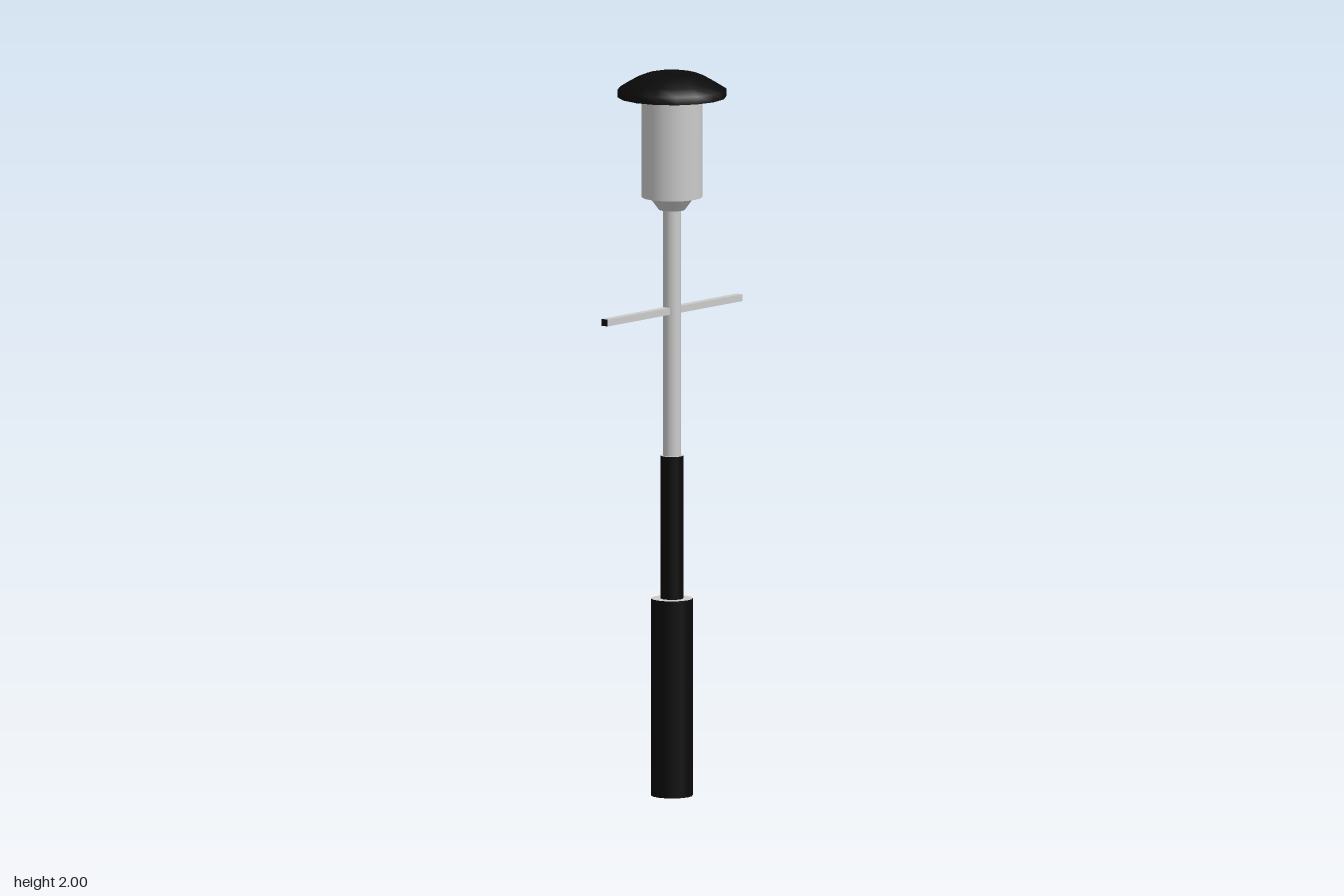
import * as THREE from 'three';

const SIDES = 16;
const grey = new THREE.MeshStandardMaterial({ color: 0xcccccc });
const black = new THREE.MeshStandardMaterial({ color: 0x0a0a0a });

export function createModel() {
  const lamp = new THREE.Group();
  lamp.name = 'streetLamp';

  const add = (name, geometry, material, y = 0) => {
    const mesh = new THREE.Mesh(geometry, material);
    mesh.name = name;
    mesh.position.y = y;
    lamp.add(mesh);
    return mesh;
  };

  // Upright round section from y0 to y1; materials are [side, top, bottom]
  const section = (name, y0, y1, r0, r1, materials) =>
    add(name, new THREE.CylinderGeometry(r1, r0, y1 - y0, SIDES), materials, (y0 + y1) / 2);

  // Post, from the ground up
  section('base', 0, 0.545, 0.057, 0.057, [black, grey, black]);
  section('sleeve', 0.545, 0.94, 0.031, 0.031, [black, grey, black]);
  section('pole', 0.94, 1.625, 0.024, 0.024, [grey, grey, black]);

  // Lantern
  section('lanternCollar', 1.62, 1.655, 0.036, 0.062, [grey, grey, black]);
  section('lanternBody', 1.655, 1.935, 0.083, 0.083, [grey, grey, black]);

  // Domed cap with a short vertical rim
  const profile = [
    [0.149, 1.932], [0.149, 1.953], [0.12, 1.971], [0.095, 1.985],
    [0.07, 1.995], [0.045, 2], [0, 2],
  ].map(([r, y]) => new THREE.Vector2(r, y));
  add('cap', new THREE.LatheGeometry(profile, SIDES), black);

  // Pale underside of the cap
  const underside = add('capUnderside', new THREE.CircleGeometry(0.149, SIDES), grey, 1.932);
  underside.rotation.x = Math.PI / 2;

  // Ladder rest through the pole: pale top and flanks, dark underside and ends
  add('ladderRest', new THREE.BoxGeometry(0.021, 0.019, 0.568),
    [grey, grey, grey, black, black, black], 1.342);

  return lamp;
}
